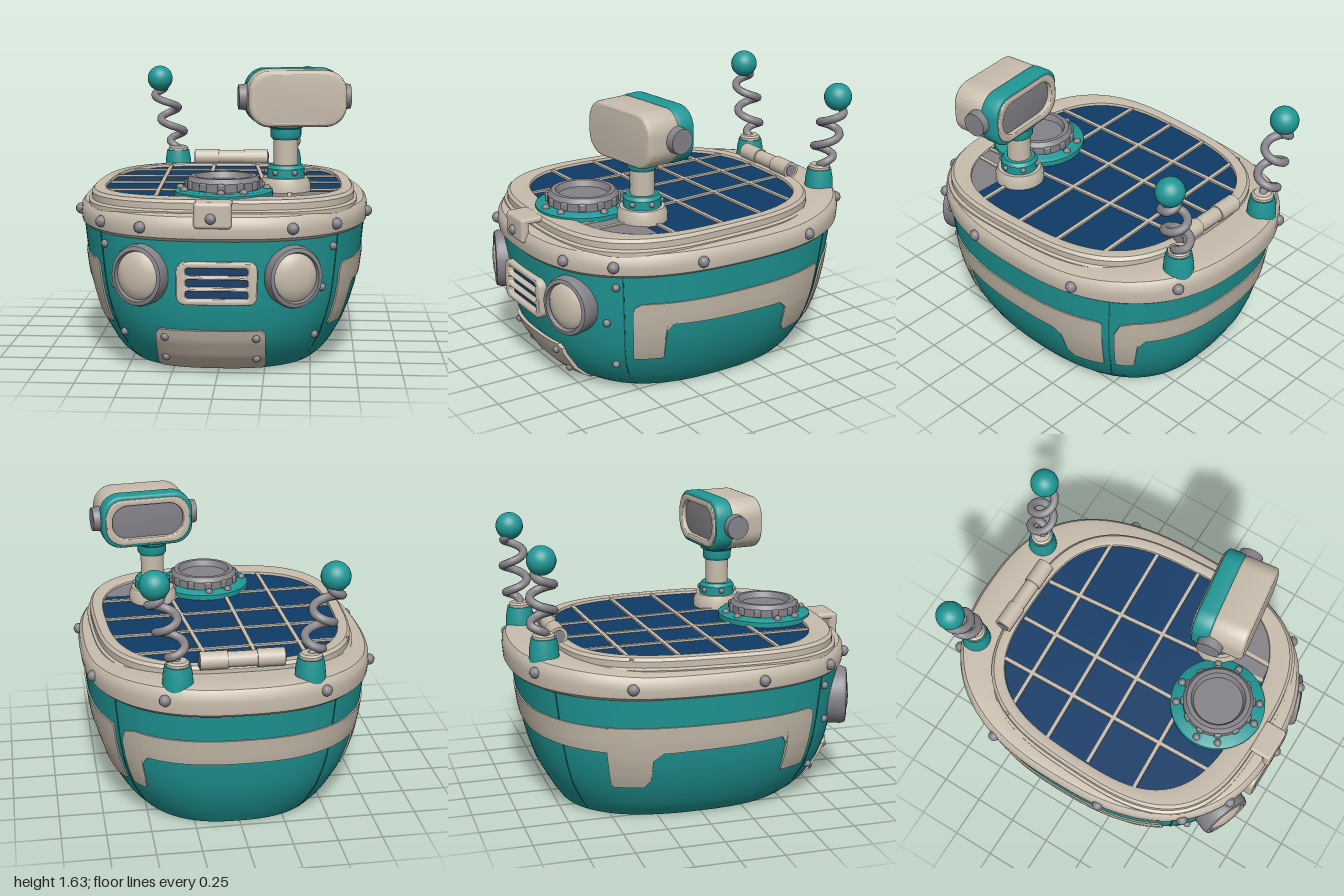
import * as THREE from 'three';
import { toCreasedNormals } from 'three/addons/utils/BufferGeometryUtils.js';
import { RoundedBoxGeometry } from 'three/addons/geometries/RoundedBoxGeometry.js';

const mat = (name, color) => Object.assign(new THREE.MeshStandardMaterial({ color }), { name });
const V = (x, y, z) => new THREE.Vector3(x, y, z);

export function createModel() {
  const model = new THREE.Group();
  model.name = 'boatRobot';
  const teal = mat('teal', 0x1f9896), cream = mat('cream', 0xc8bdad), gray = mat('gray', 0x858388);
  const blue = mat('panelBlue', 0x0f3b68), glass = mat('eyeGlass', 0x14506b), dark = mat('seamTeal', 0x126664);

  const add = (name, geo, material, pos = [0, 0, 0], parent = model) => {
    const m = new THREE.Mesh(geo, material);
    m.name = name;
    m.position.set(...pos);
    parent.add(m);
    return m;
  };
  const lathe = (pts, seg = 32) =>
    toCreasedNormals(new THREE.LatheGeometry(pts.map(p => new THREE.Vector2(...p)), seg), 0.6);
  const bolt = (p, r = 0.028, parent = model) => add('bolt', new THREE.SphereGeometry(r, 10, 8), gray, p, parent);

  // Grid of points to a surface; rows run upward, columns run towards +x at the front
  const gridGeo = rows => {
    const pos = [], idx = [], n = rows[0].length;
    rows.forEach(r => r.forEach(p => pos.push(p.x, p.y, p.z)));
    for (let i = 0; i < rows.length - 1; i++) for (let j = 0; j < n - 1; j++) {
      const a = i * n + j, b = a + 1, c = b + n, d = a + n;
      idx.push(a, b, d, b, c, d);
    }
    const g = new THREE.BufferGeometry();
    g.setAttribute('position', new THREE.Float32BufferAttribute(pos, 3));
    g.setIndex(idx);
    return toCreasedNormals(g, 0.6);
  };
  const sp = (v, n) => Math.sign(v) * Math.abs(v) ** (2 / n);
  // Point on a superellipse with separate front and back lengths; t = 0 is the front
  const oval = (t, ax, zf, zb, n, y) => {
    const c = Math.cos(t);
    return V(ax * sp(Math.sin(t), n), y, (c > 0 ? zf : zb) * sp(c, n));
  };
  const loft = (rows, n, adjust = p => p, seg = 112) => gridGeo(rows.map(([ax, zf, zb, y]) =>
    Array.from({ length: seg + 1 }, (_, j) => adjust(oval(j / seg * Math.PI * 2, ax, zf, zb, n, y)))));

  // Hull: half width, front length and back length by height
  const N = 2.5;
  const prof = [[0, 0.55, 0.66, 0.70], [0.05, 0.6, 0.74, 0.735], [0.1, 0.635, 0.79, 0.765], [0.2, 0.69, 0.85, 0.82],
    [0.3, 0.73, 0.885, 0.855], [0.4, 0.76, 0.905, 0.88], [0.5, 0.778, 0.92, 0.9], [0.6, 0.79, 0.93, 0.915], [0.8, 0.81, 0.95, 0.945]];
  const radii = (y, off) => {
    let i = 0;
    while (i < prof.length - 2 && y > prof[i + 1][0]) i++;
    const k = (y - prof[i][0]) / (prof[i + 1][0] - prof[i][0]);
    return [1, 2, 3].map(c => THREE.MathUtils.lerp(prof[i][c], prof[i + 1][c], k) + off);
  };
  const around = (t, y, off) => oval(t, ...radii(y, off), N, y);
  const onFront = (x, y, off) => {
    const [ax, zf] = radii(y, off);
    return V(x, y, zf * Math.max(0, 1 - Math.abs(x / ax) ** N) ** (1 / N));
  };
  add('hull', loft([[0, 0, 0, 0], ...prof.map(([y, a, f, b]) => [a, f, b, y])], N), teal);

  // Raised patch on the hull; outline is a list of [s, low, high]
  const band = (name, surf, pts, off, material) => {
    const cols = [];
    pts.forEach((p, i) => {
      const q = pts[i + 1];
      if (!q) return cols.push(p);
      const k = Math.max(1, Math.ceil((q[0] - p[0]) / 0.05));
      for (let j = 0; j < k; j++) cols.push(p.map((v, c) => v + (q[c] - v) * j / k));
    });
    cols.unshift(cols[0]);
    cols.push(cols[cols.length - 1]);
    const R = 12, rows = [];
    for (let i = -1; i <= R + 1; i++) {
      const f = Math.min(1, Math.max(0, i / R));
      rows.push(cols.map(([s, lo, hi], j) => {
        const edge = i < 0 || i > R || j === 0 || j === cols.length - 1;
        return surf(s, lo + (hi - lo) * f, edge ? -0.004 : off);
      }));
    }
    return add(name, gridGeo(rows), material);
  };

  // Side stripes with a leg at each end
  const side = [[0.915, 0.25, 0.55], [0.93, 0.24, 0.58], [0.98, 0.24, 0.6], [1.13, 0.24, 0.6], [1.14, 0.25, 0.6], [1.15, 0.42, 0.6],
    [1.19, 0.465, 0.6], [1.8, 0.445, 0.6], [1.86, 0.4, 0.6], [1.88, 0.27, 0.6], [1.93, 0.225, 0.6], [2.15, 0.225, 0.6], [2.17, 0.24, 0.58]];
  band('leftStripe', around, side, 0.008, cream);
  band('rightStripe', around, side.map(([t, a, b]) => [-t, a, b]).reverse(), 0.008, cream);
  // Stern stripe with one leg beside the seam
  band('sternStripe', around, [[2.26, 0.24, 0.52], [2.3, 0.23, 0.59], [2.4, 0.23, 0.61], [2.42, 0.25, 0.61], [2.44, 0.41, 0.61],
    [2.5, 0.46, 0.61], [3.6, 0.46, 0.61], [Math.PI * 2 - 2.16, 0.45, 0.6]], 0.008, cream);
  for (const t of [0.85, -0.85, 2.22, -2.55])
    band('hullSeam', around, [[t - 0.005, 0.01, 0.77], [t + 0.005, 0.01, 0.77]], 0.003, dark);

  // Lower front plate
  band('frontPlate', onFront, [[-0.33, 0.03, 0.24], [-0.31, 0.01, 0.265], [0.24, 0.01, 0.265], [0.26, 0.03, 0.24]], 0.022, cream);
  for (const x of [-0.28, 0.21]) for (const y of [0.09, 0.22]) bolt(onFront(x, y, 0.022).toArray(), 0.022);
  for (const s of [-1, 1]) for (const [t, y] of [[0.8, 0.7], [0.72, 0.48], [0.77, 0.2]])
    bolt(around(s * t, y, 0.004).toArray(), 0.022);

  // Rim and deck, rising towards the stern
  const lift = p => {
    const k = THREE.MathUtils.smoothstep(-p.z, 0.3, 0.98);
    p.y += k * (p.y < 0.8 ? 0.015 : 0.04);
    return p;
  };
  const rim = [[-0.04, 0.755], [0, 0.758], [0.018, 0.775], [0.024, 0.82], [0.018, 0.865], [0, 0.888], [-0.03, 0.897], [-0.12, 0.9], [-0.4, 0.9]];
  add('rim', loft([...rim.map(([o, y]) => [0.8 + o, 0.95 + o, 0.962 + o, y]), [0, 0, 0, 0.9]], N, lift), cream);
  for (const t of [0.42, 0.8, 1.36, 1.95, 2.68])
    for (const s of [-1, 1]) bolt(lift(oval(s * t, 0.825, 0.975, 0.987, N, 0.825)).toArray(), 0.032);

  // Lid with a recessed panel
  const lidShift = p => { p.x *= 1 + 0.06 * p.z; p.z += 0.05; return p; };
  const lidRows = [[0.75, 0.84, 0.80, 0.87], [0.75, 0.84, 0.80, 0.905], [0.735, 0.825, 0.79, 0.915], [0.735, 0.825, 0.79, 0.95],
    [0.72, 0.81, 0.775, 0.967], [0.68, 0.71, 0.74, 0.97], [0.665, 0.69, 0.722, 0.965], [0.66, 0.685, 0.717, 0.94]];
  add('lid', loft(lidRows, 3, lidShift), cream);
  add('solarPanel', loft([[0.67, 0.69, 0.72, 0.95], [0, 0, 0, 0.95]], 3, lidShift), blue);
  // Panel dividers
  const bar = (x1, z1, x2, z2) => {
    const m = add('panelDivider', new THREE.BoxGeometry(Math.hypot(x2 - x1, z2 - z1), 0.022, 0.022), cream,
      [(x1 + x2) / 2, 0.95, (z1 + z2) / 2]);
    m.rotation.y = -Math.atan2(z2 - z1, x2 - x1);
  };
  [[-0.38, -0.34], [-0.11, -0.07], [0.16, 0.28]].forEach(([a, b]) => bar(a, -0.66, b, 0.72));
  [-0.44, -0.17, 0.10, 0.40].forEach(z => bar(-0.66, z + 0.02, z < -0.3 ? 0.61 : 0.67, z - 0.04));
  bar(0.38, 0.45, 0.38, 0.72);
  const cell = new THREE.Shape([[0.2, -0.71], [0.42, -0.71], [0.58, -0.6], [0.65, -0.44], [0.2, -0.44]].map(p => new THREE.Vector2(...p)));
  add('grayPanelCell', new THREE.ShapeGeometry(cell).rotateX(-Math.PI / 2), gray, [0, 0.954, 0]);

  // Hinge and front latch
  for (const [x, w, r] of [[0, 0.16, 0.043], [-0.155, 0.15, 0.05], [0.155, 0.15, 0.05]])
    add('hinge', new THREE.CylinderGeometry(r, r, w, 20).rotateZ(Math.PI / 2), cream, [x - 0.005, 1.0, -0.725]);
  for (const x of [-0.225, 0.215])
    add('hingeCap', new THREE.CylinderGeometry(0.035, 0.035, 0.03, 16).rotateZ(Math.PI / 2), gray, [x, 1.0, -0.725]);
  add('latch', new RoundedBoxGeometry(0.2, 0.14, 0.05, 3, 0.02), cream, [-0.015, 0.9, 0.965]);
  add('latchTop', new RoundedBoxGeometry(0.2, 0.035, 0.13, 3, 0.015), cream, [-0.015, 0.953, 0.92]);
  bolt([-0.025, 0.885, 0.985], 0.03);

  // Headlights
  for (const s of [-1, 1]) {
    const lamp = new THREE.Group();
    lamp.name = 'headlight';
    lamp.position.set(s * 0.397, 0.565, 0.85);
    lamp.rotation.set(0, s * 0.38, 0);
    lamp.scale.set(1, 1.1, 1);
    model.add(lamp);
    add('headlightRing', lathe([[0.14, -0.1], [0.153, -0.02], [0.153, 0.05], [0.145, 0.075], [0.125, 0.08], [0.115, 0.05]]).rotateX(Math.PI / 2), gray, [0, 0, 0], lamp);
    add('headlightLens', lathe([[0.122, 0.055], [0.1, 0.075], [0.06, 0.088], [0, 0.092]]).rotateX(Math.PI / 2), cream, [0, 0, 0], lamp);
  }

  // Rounded rectangle shape and its extrusion
  const rr = (w, h, r, x = 0, y = 0, S = THREE.Shape) => {
    const s = new S(), a = w / 2 - r, b = h / 2 - r;
    s.absarc(x + a, y + b, r, 0, Math.PI / 2);
    s.absarc(x - a, y + b, r, Math.PI / 2, Math.PI);
    s.absarc(x - a, y - b, r, Math.PI, Math.PI * 1.5);
    s.absarc(x + a, y - b, r, Math.PI * 1.5, Math.PI * 2);
    s.closePath();
    return s;
  };
  const extrude = (shape, depth, bevel, holes = []) => {
    shape.holes.push(...holes);
    return toCreasedNormals(new THREE.ExtrudeGeometry(shape, { depth: depth - 2 * bevel, bevelSize: bevel, bevelThickness: bevel,
      bevelOffset: -bevel, bevelSegments: 3, curveSegments: 10 }).translate(0, 0, bevel), 0.5);
  };

  // Grille with three slots
  add('grille', extrude(rr(0.43, 0.23, 0.05), 0.06, 0.012, [0.062, 0, -0.062].map(y => rr(0.33, 0.042, 0.015, 0, y, THREE.Path))),
    cream, [0.005, 0.535, 0.905]);
  add('grilleBack', new THREE.BoxGeometry(0.36, 0.18, 0.02), blue, [0.005, 0.535, 0.922]);

  // Round hatch
  const hatch = new THREE.Group();
  hatch.name = 'hatch';
  hatch.position.set(0.02, 0, 0.57);
  model.add(hatch);
  add('hatchPlate', lathe([[0.27, 0.95], [0.27, 0.98], [0.255, 0.99], [0, 0.99]], 40), teal, [0, 0, 0], hatch);
  add('hatchRing', lathe([[0.2, 0.985], [0.2, 1.035], [0.18, 1.06], [0.155, 1.06], [0.14, 1.025], [0, 1.025]], 40), gray, [0, 0, 0], hatch);
  for (let i = 0; i < 12; i++) {
    const a = i / 12 * Math.PI * 2;
    const m = add('hatchTooth', new RoundedBoxGeometry(0.04, 0.045, 0.03, 2, 0.008), gray, [Math.sin(a) * 0.197, 1.015, Math.cos(a) * 0.197], hatch);
    m.rotation.y = a;
    if (i % 3 !== 2) bolt([Math.sin(a) * 0.237, 0.99, Math.cos(a) * 0.237], 0.022, hatch);
  }

  // Neck
  const neck = [0.355, 0, 0.385];
  add('neckBase', lathe([[0.14, 0.94], [0.14, 0.995], [0.125, 1.03], [0, 1.03]]), cream, neck);
  add('lowerCollar', lathe([[0.105, 1.02], [0.105, 1.08], [0.09, 1.1], [0, 1.1]]), teal, neck);
  add('neck', new THREE.CylinderGeometry(0.068, 0.068, 0.2, 28), cream, [neck[0], 1.17, neck[2]]);
  add('upperCollar', lathe([[0, 1.24], [0.075, 1.24], [0.085, 1.255], [0.085, 1.3], [0.1, 1.31], [0.1, 1.36]]), teal, neck);
  for (let i = 0; i < 6; i++) {
    const a = i * Math.PI / 3 + 0.5;
    bolt([neck[0] + Math.sin(a) * 0.105, 1.06, neck[2] + Math.cos(a) * 0.105], 0.016);
  }

  // Head, turned slightly to its left
  const head = new THREE.Group();
  head.name = 'head';
  head.position.set(0.405, 1.475, 0.425);
  head.rotation.y = 0.13;
  model.add(head);
  const hole = () => [rr(0.44, 0.215, 0.1, 0, 0, THREE.Path)];
  add('faceShell', extrude(rr(0.535, 0.305, 0.115), 0.21, 0.025, hole()), cream, [0, 0, -0.06], head);
  add('facePlate', new THREE.ShapeGeometry(rr(0.49, 0.26, 0.1)), cream, [0, 0, 0.115], head);
  add('backShell', extrude(rr(0.54, 0.312, 0.115), 0.11, 0.02, hole()), teal, [0, 0, -0.155], head);
  add('backFrame', extrude(rr(0.5, 0.272, 0.105), 0.04, 0.01, [rr(0.425, 0.2, 0.095, 0, 0, THREE.Path)]), cream, [0, 0, -0.165], head);
  add('backPanel', extrude(rr(0.48, 0.25, 0.1), 0.02, 0.002), gray, [0, 0, -0.135], head);
  for (const s of [-1, 1]) {
    add('eyeRim', new THREE.TorusGeometry(0.1, 0.016, 10, 36), gray, [s * 0.125, 0, 0.125], head);
    add('eye', lathe([[0.1, 0], [0.07, 0.012], [0, 0.018]]).rotateX(Math.PI / 2), glass, [s * 0.125, 0, 0.122], head);
    add('eyeGlint', new THREE.CircleGeometry(0.027, 14), cream, [s * 0.125 - 0.03, 0.038, 0.142], head);
    add('sideKnob', new THREE.CylinderGeometry(0.068, 0.075, 0.06, 24).rotateZ(-s * Math.PI / 2), gray, [s * 0.28, 0, -0.035], head);
  }

  // Spring antennas
  for (const s of [-1, 1]) {
    const mast = new THREE.Group();
    mast.name = 'antenna';
    model.add(mast);
    const base = [s * 0.355, 0, -0.835];
    add('antennaBase', lathe([[0.085, 0.9], [0.08, 0.98], [0.07, 1.035], [0, 1.035]]), teal, base, mast);
    add('antennaCollar', lathe([[0.062, 1.03], [0.062, 1.05], [0.05, 1.06], [0, 1.06]]), cream, base, mast);
    const pts = [];
    for (let i = 0; i <= 48; i++) {
      const k = i / 48, a = k * Math.PI * 2 * 2.75, r = 0.065 * Math.min(1, k * 6, (1 - k) * 6);
      pts.push(V(s * (0.355 + 0.105 * k + r * Math.sin(a)), 1.04 + 0.42 * k, -0.84 - 0.02 * k + r * Math.cos(a)));
    }
    add('antennaSpring', new THREE.TubeGeometry(new THREE.CatmullRomCurve3(pts), 110, 0.024, 9), gray, [0, 0, 0], mast);
    add('antennaBall', new THREE.SphereGeometry(0.08, 28, 20), teal, [s * 0.472, 1.49, -0.86], mast);
  }
  return model;
}
